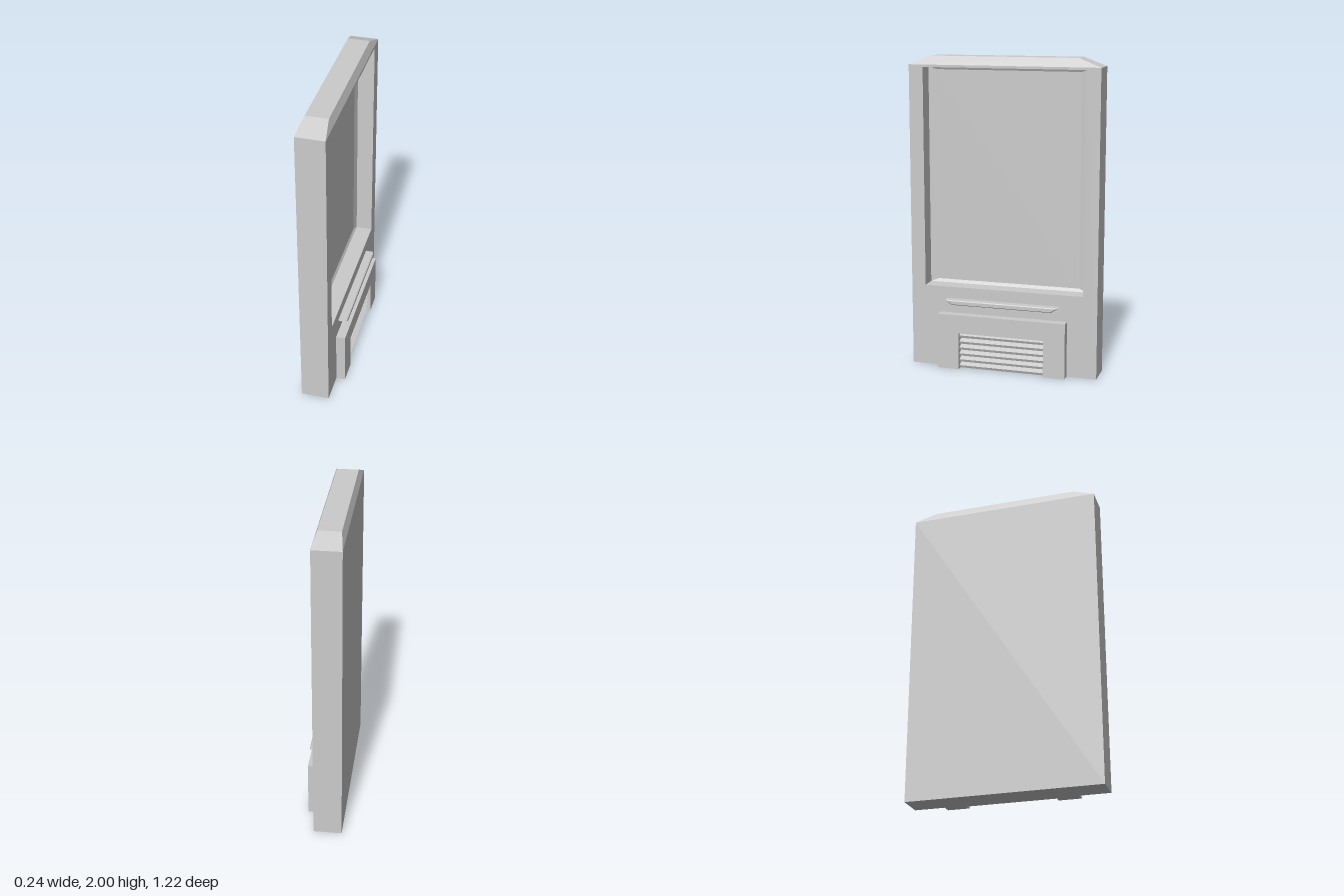
import * as THREE from 'three';

const material = new THREE.MeshStandardMaterial({ color: 0xcccccc, flatShading: true });

// Skins a row of four-cornered rings (counter-clockwise along the row) and caps both ends.
function loft(name, rings) {
  const pos = [];
  const quad = (a, b, c, d) => pos.push(...a, ...b, ...c, ...a, ...c, ...d);
  for (let i = 0; i < rings.length - 1; i++) {
    for (let j = 0; j < 4; j++) {
      const k = (j + 1) % 4;
      quad(rings[i][j], rings[i][k], rings[i + 1][k], rings[i + 1][j]);
    }
  }
  const first = rings[0], last = rings[rings.length - 1];
  quad(first[3], first[2], first[1], first[0]);
  quad(...last);
  const geo = new THREE.BufferGeometry();
  geo.setAttribute('position', new THREE.Float32BufferAttribute(pos, 3));
  geo.computeVertexNormals();
  return named(name, geo);
}

function named(name, geo) {
  const mesh = new THREE.Mesh(geo, material);
  mesh.name = name;
  return mesh;
}

// Upright ring facing +x; the top edge may be wider than the bottom edge.
const sideRing = (x, y0, y1, zBottom, zTop = zBottom) =>
  [[x, y0, -zBottom], [x, y1, -zTop], [x, y1, zTop], [x, y0, zBottom]];

// Level ring facing +y.
const levelRing = (y, x0, x1, z) =>
  [[x0, y, -z], [x0, y, z], [x1, y, z], [x1, y, -z]];

export function createModel() {
  const model = new THREE.Group();
  model.name = 'displayPanel';

  // Slab with a deep recess and a shallow dished floor
  model.add(loft('body', [
    sideRing(-0.118, 0, 1.945, 0.612),
    sideRing(0.06, 0, 1.945, 0.612),
    sideRing(0.06, 0.53, 1.93, 0.52),
    sideRing(-0.045, 0.53, 1.93, 0.52),
    sideRing(-0.055, 0.55, 1.91, 0.47),
  ]));

  // Sloping crown
  model.add(loft('topCap', [
    levelRing(1.945, -0.118, 0.06, 0.612),
    levelRing(2, -0.098, 0.04, 0.47),
  ]));

  // Ledge with undercut ends and a thin chamfer
  model.add(loft('ledge', [
    sideRing(0.055, 0.424, 0.455, 0.328, 0.37),
    sideRing(0.108, 0.424, 0.455, 0.328, 0.37),
    sideRing(0.114, 0.429, 0.45, 0.325, 0.355),
  ]));

  // Vent surround: an arch open at the bottom
  const arch = new THREE.Shape([
    [-0.42, 0], [-0.28, 0], [-0.28, 0.24], [0.28, 0.24],
    [0.28, 0], [0.42, 0], [0.42, 0.36], [-0.42, 0.36],
  ].map(([x, y]) => new THREE.Vector2(x, y)));
  const surround = new THREE.ExtrudeGeometry(arch, { depth: 0.058, bevelEnabled: false });
  surround.rotateY(Math.PI / 2).translate(0.06, 0, 0);
  model.add(named('ventSurround', surround));

  // Louvres sloping down and outward
  const louvres = new THREE.Group();
  louvres.name = 'louvres';
  const slatGeo = new THREE.BoxGeometry(0.036, 0.018, 0.56);
  for (let i = 0; i < 6; i++) {
    const slat = named('slat', slatGeo);
    slat.position.set(0.079, 0.02 + i * 0.04, 0);
    slat.rotation.z = -0.4;
    louvres.add(slat);
  }
  model.add(louvres);

  return model;
}
